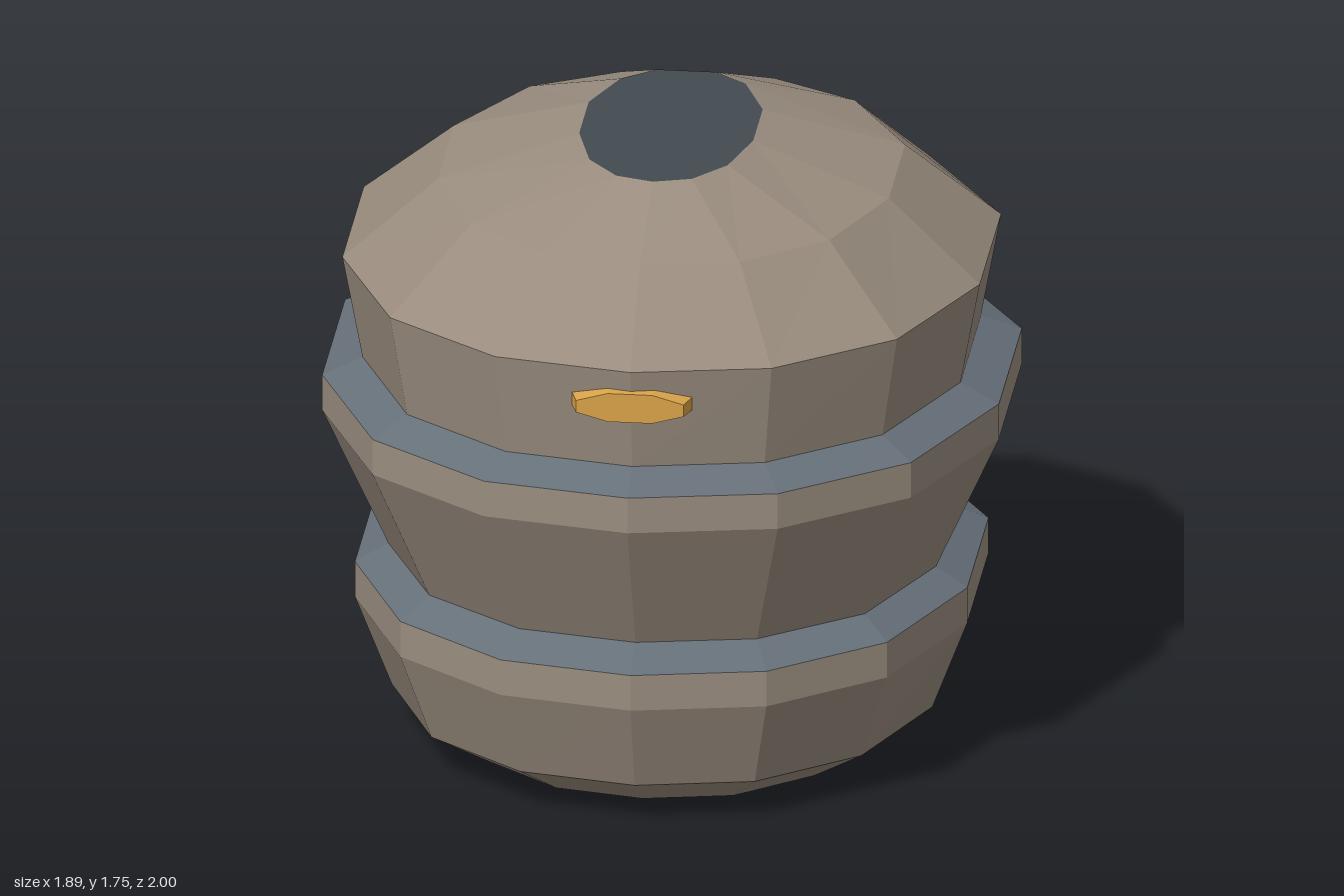
import * as THREE from 'three';

// Egg-shaped 13-sided outline, half of it: [x, z] from the front point to the back edge
const half = [[0, 1], [0.434, 0.92], [0.795, 0.65], [1, 0.19], [1, -0.37], [0.72, -0.81], [0.34, -1]];
const outline = [...half, ...half.slice(1).reverse().map(([x, z]) => [-x, z])];

// Rings from bottom to top: [y, half width, front z, back z]
const rings = [
  [0, 0.57, 0.625, -0.645],
  [0.12, 0.755, 0.825, -0.83],
  [0.385, 0.855, 0.928, -0.928],
  [0.49, 0.855, 0.928, -0.928],
  [0.54, 0.765, 0.805, -0.81],
  [0.945, 0.945, 1, -1],
  [1.05, 0.945, 1, -1],
  [1.1, 0.835, 0.888, -0.893],
  [1.4, 0.89, 0.935, -0.935],
  [1.625, 0.63, 0.7, -0.72],
  [1.75, 0.243, 0.385, -0.44],
];

function ringPoints([y, w, front, back]) {
  const mid = (front + back) / 2, depth = (front - back) / 2;
  return outline.map(([x, z]) => [x * w, y, mid + z * depth]);
}

function facets(triangles) {
  const geo = new THREE.BufferGeometry();
  geo.setAttribute('position', new THREE.Float32BufferAttribute(triangles.flat(2), 3));
  geo.computeVertexNormals();
  return geo;
}

// Wall through rings first..last
function wall(first, last) {
  const tris = [];
  for (let r = first; r < last; r++) {
    const lo = ringPoints(rings[r]), hi = ringPoints(rings[r + 1]);
    lo.forEach((a, i) => {
      const j = (i + 1) % lo.length;
      tris.push([a, lo[j], hi[j]], [a, hi[j], hi[i]]);
    });
  }
  return facets(tris);
}

// Flat lid closing a ring
function cap(ring, up) {
  const pts = ringPoints(ring);
  const centre = [0, ring[0], (ring[2] + ring[3]) / 2];
  return facets(pts.map((p, i) => {
    const q = pts[(i + 1) % pts.length];
    return up ? [centre, p, q] : [centre, q, p];
  }));
}

function material(name, color) {
  const m = new THREE.MeshStandardMaterial({ color, flatShading: true });
  m.name = name;
  return m;
}

export function createModel() {
  const group = new THREE.Group();
  group.name = 'tieredPod';
  const shell = material('warm grey shell', 0x9a8d7f);
  const slate = material('slate ledge', 0x667079);
  const dark = material('dark cap', 0x444b50);
  const amber = material('amber badge', 0xd9a34a);

  const add = (name, geo, mat) => {
    const mesh = new THREE.Mesh(geo, mat);
    mesh.name = name;
    group.add(mesh);
    return mesh;
  };

  // Three stacked tiers with sloping ledges between them
  add('lowerTier', wall(0, 3), shell);
  add('lowerLedge', wall(3, 4), slate);
  add('middleTier', wall(4, 6), shell);
  add('upperLedge', wall(6, 7), slate);
  add('upperTier', wall(7, 10), shell);
  add('bottomCap', cap(rings[0], false), dark);
  add('topCap', cap(rings[10], true), dark);

  // Eight-sided tapered badge on the front
  const badge = new THREE.CylinderGeometry(0.163, 0.181, 0.055, 8);
  badge.rotateY(Math.PI / 8).rotateX(Math.PI / 2).scale(1, 0.28, 1);
  add('frontBadge', badge, amber).position.set(0, 1.296, 0.917);

  return group;
}
